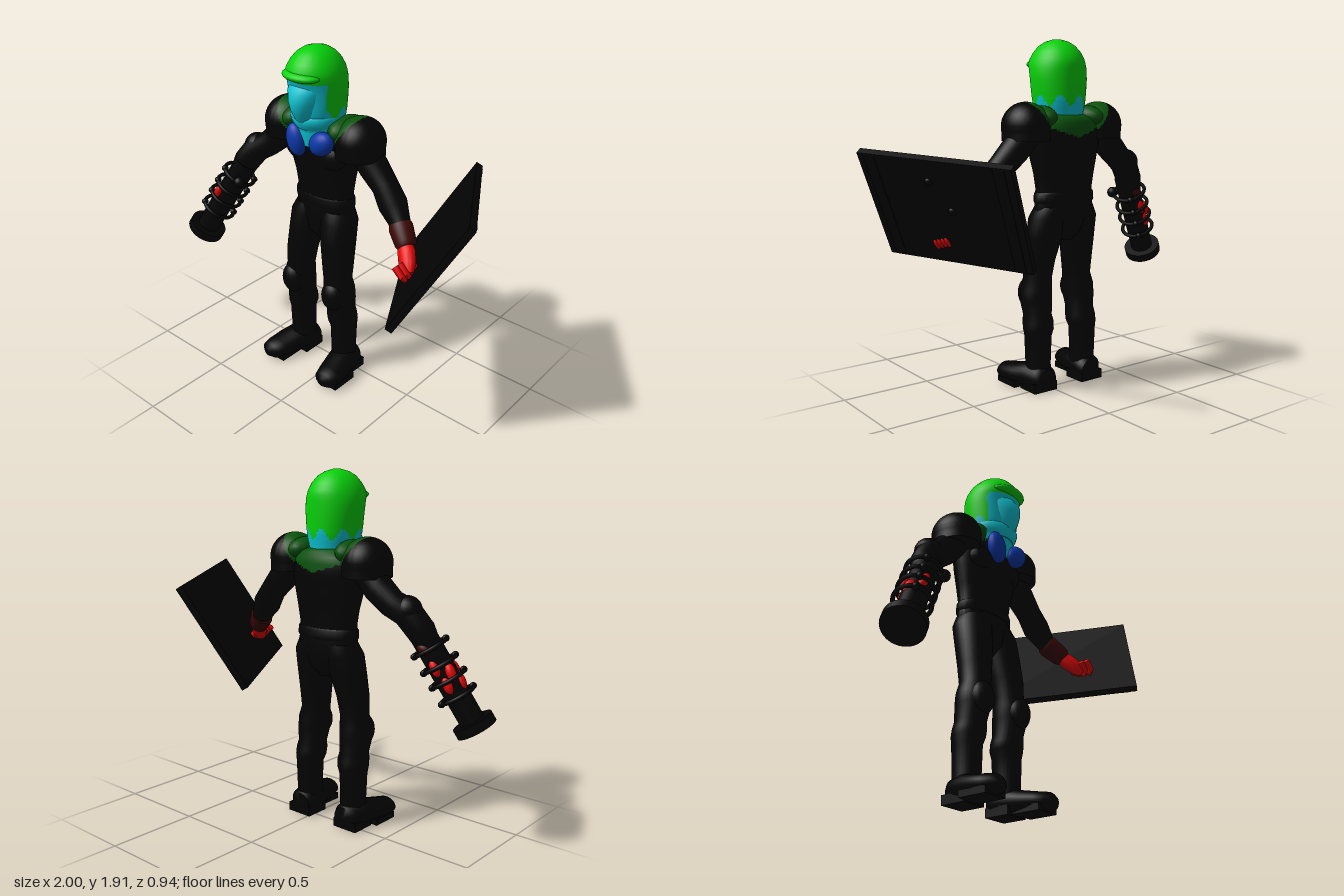
import * as THREE from 'three';
import { toCreasedNormals } from 'three/addons/utils/BufferGeometryUtils.js';

const V = (x, y, z) => new THREE.Vector3(x, y, z);
const Y = V(0, 1, 0), Z = V(0, 0, 1);

function mat(name, color) {
  const m = new THREE.MeshStandardMaterial({ color });
  m.name = name;
  return m;
}

// Loft of elliptical rings [x, y, z, radiusA, radiusB] along a path.
// With "axis" all rings stay square to it; "rule" picks a material index per face.
function loft(pts, { ref = Z, axis = null, seg = 28, rule = () => 0 } = {}) {
  const c = pts.map(p => V(p[0], p[1], p[2])), pos = [], n = pts.length;
  pts.forEach((p, i) => {
    const t = axis ? axis.clone() : c[Math.min(i + 1, n - 1)].clone().sub(c[Math.max(i - 1, 0)]).normalize();
    const s = t.clone().cross(ref).normalize(), b = s.clone().cross(t);
    for (let j = 0; j < seg; j++) {
      const a = j / seg * Math.PI * 2;
      const v = c[i].clone().addScaledVector(s, Math.cos(a) * p[3]).addScaledVector(b, Math.sin(a) * p[4]);
      pos.push(v.x, v.y, v.z);
    }
  });
  pos.push(...c[0].toArray(), ...c[n - 1].toArray());
  const faces = [], id = (i, j) => i * seg + j % seg;
  for (let j = 0; j < seg; j++) {
    faces.push([n * seg, id(0, j), id(0, j + 1)], [n * seg + 1, id(n - 1, j + 1), id(n - 1, j)]);
    for (let i = 0; i < n - 1; i++) {
      faces.push([id(i, j), id(i + 1, j), id(i, j + 1)], [id(i, j + 1), id(i + 1, j), id(i + 1, j + 1)]);
    }
  }
  return colourFaces(pos, faces, rule);
}

// Sorts faces into material groups by their centre point.
function colourFaces(pos, faces, rule) {
  const lists = [[], []];
  for (const f of faces) {
    const m = V(0, 0, 0);
    f.forEach(k => m.add(V(pos[k * 3], pos[k * 3 + 1], pos[k * 3 + 2])));
    lists[rule(m.divideScalar(3))].push(...f);
  }
  const g = new THREE.BufferGeometry();
  g.setAttribute('position', new THREE.Float32BufferAttribute(pos, 3));
  g.setIndex([...lists[0], ...lists[1]]);
  g.addGroup(0, lists[0].length, 0);
  g.addGroup(lists[0].length, lists[1].length, 1);
  return toCreasedNormals(g, 0.9);
}

export function createModel() {
  const black = mat('black', 0x030303), green = mat('bright green', 0x06d208), darkGreen = mat('dark green', 0x09520b);
  const cyan = mat('cyan', 0x0cc6d6), blue = mat('blue', 0x0a38ac), red = mat('red', 0xf80606), darkRed = mat('dark red', 0x3c0605);
  const model = new THREE.Group();
  model.name = 'armouredFigure';
  const body = new THREE.Group();
  body.name = 'body';
  body.position.x = -0.1;
  model.add(body);

  const add = (parent, name, geo, m, p = [0, 0, 0]) => {
    const mesh = new THREE.Mesh(geo, m);
    mesh.name = name;
    mesh.position.set(...p);
    parent.add(mesh);
    return mesh;
  };
  const blob = (parent, name, m, p, r, tilt = 0) => {
    const mesh = add(parent, name, new THREE.SphereGeometry(1, 20, 14), m, p);
    mesh.scale.set(...r);
    mesh.rotation.z = tilt;
    return mesh;
  };

  // Torso with a green yoke over the upper back
  add(body, 'torso', loft([
    [0, 0.83, 0.01, 0.04, 0.05], [0, 0.88, 0.01, 0.11, 0.09], [0, 0.98, 0, 0.19, 0.105], [0, 1.04, 0, 0.185, 0.1],
    [0, 1.12, 0, 0.18, 0.1], [0, 1.2, 0, 0.192, 0.11], [0, 1.3, 0.005, 0.215, 0.125], [0, 1.35, 0.005, 0.22, 0.13],
    [0, 1.38, 0.005, 0.225, 0.135], [0, 1.395, 0.005, 0.225, 0.135], [0, 1.41, 0.005, 0.225, 0.135], [0, 1.425, 0.005, 0.223, 0.134],
    [0, 1.44, 0.005, 0.22, 0.133], [0, 1.475, 0, 0.2, 0.125], [0, 1.5, 0, 0.16, 0.11], [0, 1.515, 0, 0.11, 0.08],
  ], { axis: Y, seg: 80, rule: v => v.y > 1.46 || (v.z < 0 && v.y > 1.395 + Math.abs(v.x) * 0.3) ? 1 : 0 }), [black, darkGreen]);
  add(body, 'belt', loft([[0, 1.04, 0, 0.186, 0.103], [0, 1.05, 0, 0.192, 0.107], [0, 1.09, 0, 0.19, 0.106], [0, 1.1, 0, 0.182, 0.102]],
    { axis: Y }), black);

  // Mirrored shoulders, chest plates and legs
  for (const s of [-1, 1]) {
    const side = s > 0 ? 'left' : 'right';
    const rings = [];
    for (let i = 0; i <= 24; i++) {
      const a = -0.6 + (Math.PI / 2 + 0.6) * i / 24, r = Math.max(Math.cos(Math.max(a, -0.2)), 0.02);
      rings.push([0, Math.sin(a) * 0.13, 0, r * 0.128, r * 0.14]);
    }
    add(body, side + 'ShoulderPad', loft(rings, {
      axis: Y, seg: 80, rule: v => v.y > -0.02 && s * v.x < 0.012 - (0.12 - v.y) * 0.7 ? 1 : 0,
    }), [black, darkGreen], [s * 0.248, 1.453, 0.01]);
    blob(body, side + 'Trapezius', darkGreen, [s * 0.16, 1.5, 0.01], [0.075, 0.064, 0.127], -s * 0.2);
    blob(body, side + 'ChestPlate', black, [s * 0.1, 1.35, 0.075], [0.1, 0.075, 0.06]);

    add(body, side + 'Leg', loft([
      [s * 0.157, 0.05, 0.03, 0.07, 0.078], [s * 0.157, 0.15, 0.03, 0.068, 0.075], [s * 0.157, 0.3, 0.03, 0.073, 0.08],
      [s * 0.152, 0.34, 0.033, 0.084, 0.088], [s * 0.15, 0.38, 0.038, 0.085, 0.088], [s * 0.15, 0.42, 0.045, 0.077, 0.084],
      [s * 0.15, 0.5, 0.058, 0.088, 0.094], [s * 0.148, 0.56, 0.06, 0.087, 0.092], [s * 0.138, 0.62, 0.06, 0.078, 0.083],
      [s * 0.132, 0.72, 0.052, 0.088, 0.09], [s * 0.115, 0.85, 0.03, 0.1, 0.1], [s * 0.105, 0.96, 0.01, 0.104, 0.105],
      [s * 0.09, 1.02, 0, 0.09, 0.09],
    ], { axis: Y }), black);
    blob(body, side + 'KneePad', black, [s * 0.15, 0.53, 0.115], [0.07, 0.09, 0.06]);
    add(body, side + 'Boot', loft([
      [s * 0.155, 0.062, -0.055, 0.06, 0.06], [s * 0.16, 0.07, -0.03, 0.078, 0.07], [s * 0.17, 0.075, 0.05, 0.086, 0.075],
      [s * 0.19, 0.068, 0.13, 0.088, 0.062], [s * 0.205, 0.062, 0.21, 0.08, 0.053], [s * 0.21, 0.06, 0.265, 0.064, 0.045],
      [s * 0.212, 0.058, 0.288, 0.03, 0.025],
    ], { axis: Z, ref: Y }), black);
    add(body, side + 'Heel', new THREE.BoxGeometry(0.15, 0.05, 0.14), black, [s * 0.165, 0.025, 0.015]);
    add(body, side + 'Sole', new THREE.BoxGeometry(0.15, 0.035, 0.16), black, [s * 0.205, 0.025, 0.165]);
  }

  // Neck, blue collar flaps
  add(body, 'neckGuard', loft([[0, 1.4, 0.05, 0.09, 0.1], [0, 1.46, 0.04, 0.12, 0.12], [0, 1.52, 0.045, 0.132, 0.125], [0, 1.57, 0.05, 0.135, 0.12]],
    { axis: Y }), cyan);
  blob(body, 'rightCollarFlap', blue, [-0.07, 1.42, 0.148], [0.058, 0.09, 0.045], 0.25);
  blob(body, 'leftCollarFlap', blue, [0.1, 1.437, 0.142], [0.08, 0.062, 0.05], 0.6);

  // Helmet: green shell with a cyan face opening and ragged lower edge, plus a brim
  const helmet = [[1.48, 0.04, 0.118, 0.122], [1.52, 0.045, 0.13, 0.132], [1.54, 0.045, 0.135, 0.135], [1.56, 0.045, 0.14, 0.139],
    [1.57, 0.046, 0.142, 0.141], [1.58, 0.046, 0.143, 0.143], [1.59, 0.047, 0.145, 0.145], [1.6, 0.047, 0.146, 0.146],
    [1.615, 0.048, 0.148, 0.147], [1.63, 0.048, 0.15, 0.148], [1.7, 0.05, 0.157, 0.15], [1.755, 0.056, 0.157, 0.156],
    [1.785, 0.064, 0.151, 0.163], [1.81, 0.065, 0.143, 0.158], [1.845, 0.064, 0.125, 0.138],
    [1.88, 0.065, 0.095, 0.107], [1.902, 0.065, 0.062, 0.07], [1.915, 0.065, 0.02, 0.022]];
  add(body, 'helmet', loft(helmet.map(([y, z, a, b]) => [0, y, z, a, b]), {
    axis: Y, seg: 64, rule: v => {
      const a = Math.atan2(v.x, v.z - 0.05);
      return v.y > 1.755 || (Math.abs(a) > 1.02 && v.y > 1.59 + 0.03 * Math.sin(a * 8)) ? 0 : 1;
    },
  }), [green, cyan]);
  blob(body, 'brim', green, [0, 1.785, 0.165], [0.118, 0.032, 0.083]);
  add(body, 'faceMask', loft([
    [0, 1.51, 0.08, 0.06, 0.09], [0, 1.55, 0.09, 0.075, 0.11], [0, 1.6, 0.1, 0.085, 0.128], [0, 1.65, 0.1, 0.1, 0.138],
    [0, 1.7, 0.1, 0.112, 0.132], [0, 1.74, 0.1, 0.115, 0.105], [0, 1.77, 0.09, 0.11, 0.09],
  ], { axis: Y }), cyan);
  add(body, 'chinGuard', loft([[0, 1.5, 0.065, 0.11, 0.11], [0, 1.525, 0.062, 0.13, 0.128], [0, 1.56, 0.06, 0.144, 0.138], [0, 1.575, 0.06, 0.138, 0.128]],
    { axis: Y }), cyan);

  // Left arm, cuff and hand
  add(model, 'leftArm', loft([[0.15, 1.42, 0, 0.08, 0.08], [0.23, 1.33, 0, 0.078, 0.08], [0.31, 1.25, 0.005, 0.07, 0.07],
    [0.37, 1.17, 0.015, 0.078, 0.075], [0.43, 1.1, 0.035, 0.058, 0.055], [0.47, 1.065, 0.055, 0.05, 0.05]]), black);
  add(model, 'leftCuff', loft([[0.43, 1.09, 0.035, 0.058, 0.056], [0.445, 1.077, 0.043, 0.066, 0.062], [0.51, 1.025, 0.085, 0.058, 0.055],
    [0.525, 1.012, 0.095, 0.045, 0.045]]), darkRed);
  add(model, 'leftHand', loft([[0.5, 1.03, 0.08, 0.035, 0.035], [0.535, 0.995, 0.11, 0.05, 0.042], [0.572, 0.955, 0.15, 0.05, 0.037],
    [0.598, 0.925, 0.175, 0.03, 0.022]]), red);
  for (let i = 0; i < 4; i++) {
    const z = 0.1 + i * 0.037;
    add(model, 'leftFinger', loft([[0.555, 0.975, z + 0.02, 0.018, 0.018], [0.6, 0.935, z + 0.02, 0.018, 0.018], [0.607, 0.91, z, 0.013, 0.013]],
      { seg: 10 }), red);
  }

  // Tilted shield with end strips, bolts and fingertips on its outer face
  const shield = new THREE.Group();
  shield.name = 'shield';
  const u = V(0.42, 0.06, 0.72).normalize(), w = u.clone().cross(V(0.29, 0.56, -0.2)).normalize(), v = w.clone().cross(u);
  shield.quaternion.setFromRotationMatrix(new THREE.Matrix4().makeBasis(u, v, w));
  shield.position.set(0.635, 1.04, 0);
  model.add(shield);
  add(shield, 'shieldPanel', new THREE.BoxGeometry(0.834, 0.66, 0.038), black);
  for (const s of [-1, 1]) add(shield, 'shieldStrip', new THREE.BoxGeometry(0.06, 0.65, 0.008), black, [s * 0.35, 0, -0.02]);
  const onShield = (x, y, z) => {
    const p = V(x, y, z).sub(shield.position);
    return [p.dot(u), p.dot(v), -0.018];
  };
  for (const p of [[0.76, 1.2, -0.03], [0.68, 1.02, -0.07]]) blob(shield, 'bolt', black, onShield(...p), [0.022, 0.022, 0.018]);
  for (let i = 0; i < 4; i++) blob(shield, 'fingertip', red, onShield(0.6, 0.862, 0.082 + i * 0.027), [0.014, 0.031, 0.012], -0.3);

  // Right arm
  add(model, 'rightArm', loft([[-0.35, 1.42, 0, 0.08, 0.08], [-0.43, 1.33, 0, 0.078, 0.08], [-0.51, 1.26, 0.01, 0.072, 0.072],
    [-0.58, 1.22, 0.04, 0.077, 0.077], [-0.645, 1.13, 0.07, 0.075, 0.072], [-0.7, 1.02, 0.1, 0.055, 0.055]]), black);
  blob(model, 'rightElbow', black, [-0.585, 1.235, 0.035], [0.075, 0.072, 0.072]);

  // Arm cannon, pointing along its local y axis
  const cannon = new THREE.Group();
  cannon.name = 'armCannon';
  cannon.position.set(-0.595, 1.2, 0.06);
  cannon.quaternion.setFromUnitVectors(Y, V(-0.3, -0.54, 0.14).normalize());
  model.add(cannon);
  add(cannon, 'barrel', new THREE.CylinderGeometry(0.065, 0.068, 0.53, 28), black, [0, 0.345, 0]);
  add(cannon, 'muzzleDisc', new THREE.CylinderGeometry(0.108, 0.108, 0.05, 32), black, [0, 0.628, 0]);
  for (const y of [0.18, 0.275, 0.36, 0.455]) {
    const ring = add(cannon, 'coilRing', new THREE.TorusGeometry(0.092, 0.011, 8, 32), black, [0, y, 0]);
    ring.rotation.x = Math.PI / 2;
    for (const s of [-1, 1]) blob(cannon, 'coilClamp', black, [s * 0.092, y, 0], [0.02, 0.018, 0.018]);
  }
  // Red hand showing through the barrel's sides
  for (const p of [[-0.772, 0.935, 0.19], [-0.83, 0.89, 0.155], [-0.805, 0.94, 0.1], [-0.735, 0.957, 0.065], [-0.795, 0.875, 0.09]]) {
    blob(model, 'grippingHand', red, p, [0.025, 0.05, 0.027], -0.5);
  }
  blob(model, 'cannonCuff', darkRed, [-0.68, 1.05, 0.045], [0.045, 0.03, 0.03], 0.5);
  blob(model, 'cannonKnob', black, [-0.61, 1.04, 0.17], [0.032, 0.032, 0.032]);
  add(model, 'knobStem', loft([[-0.68, 1.06, 0.1, 0.02, 0.02], [-0.61, 1.04, 0.17, 0.02, 0.02]], { ref: Y, seg: 12 }), black);
  return model;
}
